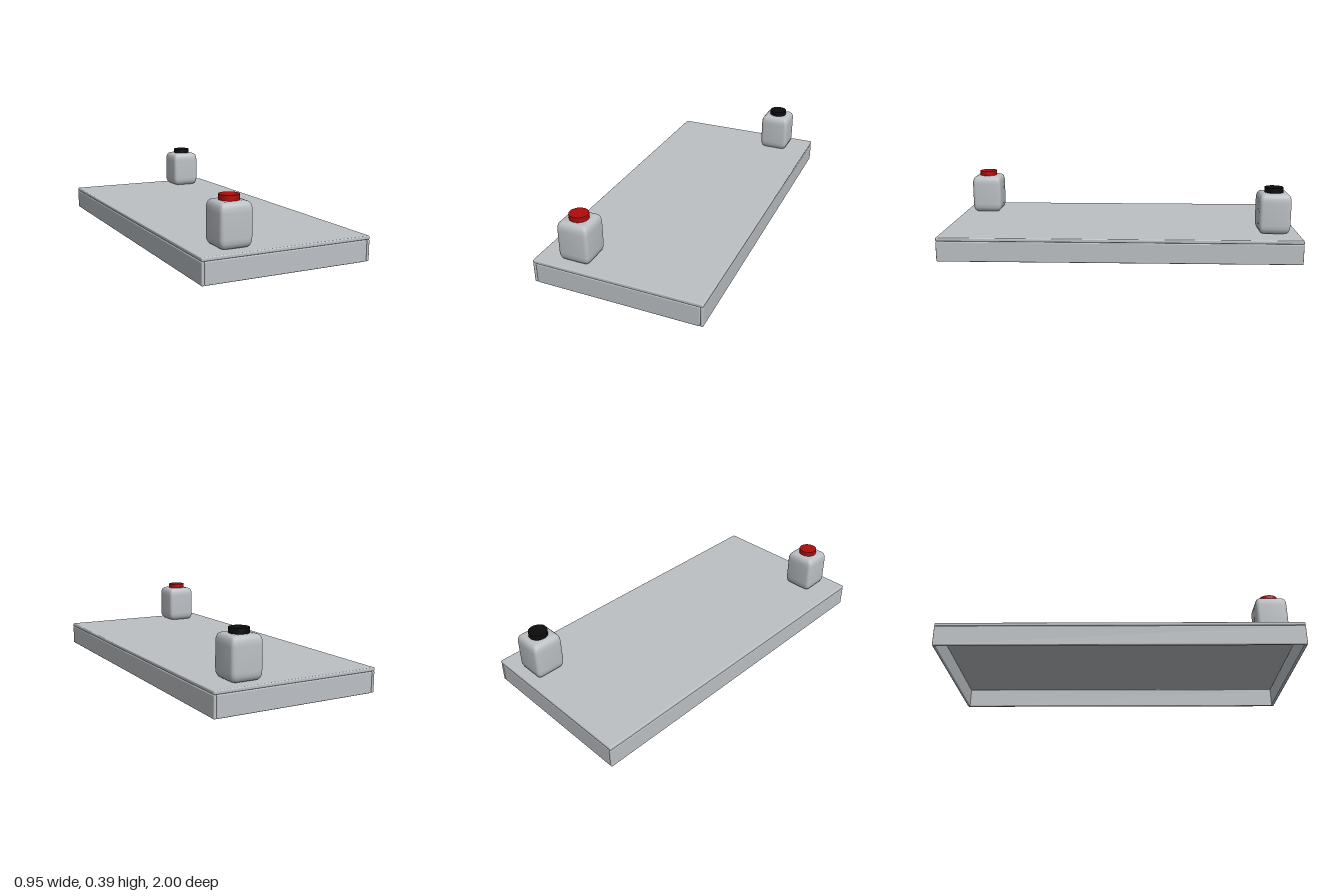
import * as THREE from 'three';
import { RoundedBoxGeometry } from 'three/addons/geometries/RoundedBoxGeometry.js';
import { toCreasedNormals } from 'three/addons/utils/BufferGeometryUtils.js';

const material = (name, color) => {
  const m = new THREE.MeshStandardMaterial({ color });
  m.name = name;
  return m;
};

// Outline of a square with rounded corners, as [x, z] points
function roundedSquare(half, radius, steps = 4) {
  const points = [];
  for (let corner = 0; corner < 4; corner++) {
    const start = corner * Math.PI / 2;
    const sx = corner === 0 || corner === 3 ? 1 : -1;
    const sz = corner < 2 ? 1 : -1;
    for (let i = 0; i <= steps; i++) {
      const a = start + i / steps * Math.PI / 2;
      points.push([sx * (half - radius) + radius * Math.cos(a), sz * (half - radius) + radius * Math.sin(a)]);
    }
  }
  return points;
}

// Bottle body lofted through rounded squares of [height, half width, corner radius]
function bottleGeometry() {
  const sections = [
    [0, 0.062, 0.012], [0.004, 0.072, 0.015], [0.012, 0.080, 0.018], [0.03, 0.0865, 0.02],
    [0.05, 0.0875, 0.02], [0.175, 0.0875, 0.02], [0.195, 0.0865, 0.02],
    [0.213, 0.081, 0.018], [0.222, 0.072, 0.015], [0.226, 0.058, 0.012],
  ];
  const positions = [], index = [];
  const n = roundedSquare(1, 0.1).length;
  for (const [y, half, radius] of sections) {
    for (const [x, z] of roundedSquare(half, radius)) positions.push(x, y, z);
  }
  for (let s = 0; s < sections.length - 1; s++) {
    for (let i = 0; i < n; i++) {
      const a = s * n + i, b = s * n + (i + 1) % n;
      index.push(a, a + n, b, b, a + n, b + n);
    }
  }
  // Close the base and the top
  const last = (sections.length - 1) * n;
  for (let i = 1; i < n - 1; i++) {
    index.push(0, i, i + 1);
    index.push(last, last + i + 1, last + i);
  }
  const g = new THREE.BufferGeometry();
  g.setAttribute('position', new THREE.Float32BufferAttribute(positions, 3));
  g.setIndex(index);
  return toCreasedNormals(g, 0.6);
}

export function createModel() {
  const model = new THREE.Group();
  model.name = 'tableWithBottles';
  const grey = material('paleGrey', 0xbcc0c4);
  const red = material('red', 0xb00c0c);
  const black = material('black', 0x0c0c0c);

  const addPanel = (name, w, h, d, x, y, z) => {
    const mesh = new THREE.Mesh(new RoundedBoxGeometry(w, h, d, 3, 0.006), grey);
    mesh.name = name;
    mesh.position.set(x, y, z);
    model.add(mesh);
  };

  // Table top and the open frame below it
  addPanel('tableTop', 0.95, 0.02, 2, 0, 0.125, 0);
  for (const s of [1, -1]) {
    addPanel(s > 0 ? 'leftPanel' : 'rightPanel', 0.016, 0.115, 2, s * 0.467, 0.0575, 0);
    addPanel(s > 0 ? 'frontPanel' : 'backPanel', 0.918, 0.115, 0.016, 0, 0.0575, s * 0.992);
  }

  // Two capped bottles at opposite corners
  const body = bottleGeometry();
  const capShape = new THREE.CylinderGeometry(0.052, 0.052, 0.03, 32);
  const addBottle = (name, capMaterial, x, z) => {
    const bottle = new THREE.Group();
    bottle.name = name;
    bottle.position.set(x, 0.135, z);
    const bodyMesh = new THREE.Mesh(body, grey);
    bodyMesh.name = 'bottleBody';
    const cap = new THREE.Mesh(capShape, capMaterial);
    cap.name = 'bottleCap';
    cap.position.y = 0.239;
    bottle.add(bodyMesh, cap);
    model.add(bottle);
  };
  addBottle('frontBottle', red, -0.262, 0.858);
  addBottle('backBottle', black, 0.261, -0.861);

  return model;
}
